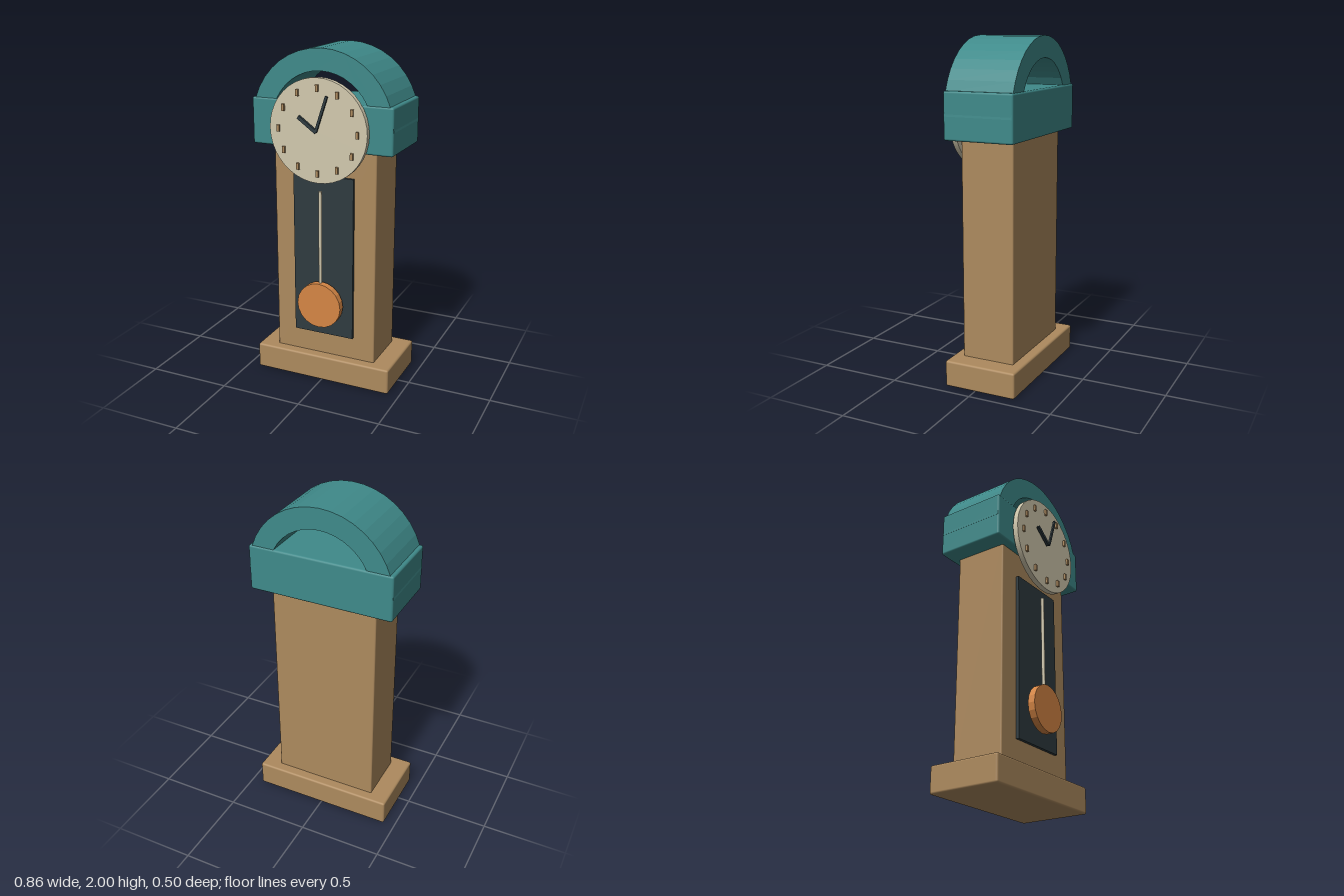
import * as THREE from 'three';
import { RoundedBoxGeometry } from 'three/addons/geometries/RoundedBoxGeometry.js';

const mat = (color, flatShading = false) => new THREE.MeshStandardMaterial({ color, flatShading });
const wood = mat(0xad8a5e);
const teal = mat(0x3f8a8a);
const tealFlat = mat(0x3f8a8a, true);
const cream = mat(0xd2c9ae);
const dark = mat(0x2f3b40);
const copper = mat(0xd58645, true);

export function createModel() {
  const clock = new THREE.Group();
  clock.name = 'longcaseClock';

  const add = (name, geometry, material, x = 0, y = 0, z = 0) => {
    const mesh = new THREE.Mesh(geometry, material);
    mesh.name = name;
    mesh.position.set(x, y, z);
    clock.add(mesh);
    return mesh;
  };

  // Box given by its width and its extents in y and z, with softened edges
  const block = (name, material, width, y0, y1, z0, z1, radius) =>
    add(name, new RoundedBoxGeometry(width, y1 - y0, z1 - z0, 2, radius), material,
      0, (y0 + y1) / 2, (z0 + z1) / 2);

  // Disc facing the front
  const disc = (name, material, radius, sides, y, z0, z1) =>
    add(name, new THREE.CylinderGeometry(radius, radius, z1 - z0, sides).rotateX(Math.PI / 2),
      material, 0, y, (z0 + z1) / 2);

  // Case
  block('base', wood, 0.864, 0, 0.156, -0.25, 0.19, 0.012);
  block('body', wood, 0.636, 0.14, 1.46, -0.19, 0.13, 0.008);
  block('hood', teal, 0.858, 1.438, 1.708, -0.239, 0.18, 0.012);

  // Faceted half-ring arch over the hood
  const arch = new THREE.Shape();
  arch.absarc(0, 0, 0.43, 0, Math.PI, false);
  arch.absarc(0, 0, 0.307, Math.PI, 0, true);
  const archGeometry = new THREE.ExtrudeGeometry(arch, {
    depth: 0.406, bevelEnabled: false, curveSegments: 10,
  });
  add('arch', archGeometry, tealFlat, 0, 1.57, -0.232);

  // Pendulum window and pendulum
  add('windowPanel', new THREE.BoxGeometry(0.376, 0.984, 0.018), dark, 0, 0.788, 0.142);
  add('pendulumRod', new THREE.CylinderGeometry(0.01, 0.01, 0.7, 10), cream, 0, 0.85, 0.19);
  disc('pendulumBob', copper, 0.138, 20, 0.505, 0.176, 0.219);

  // Dial with twelve upright hour marks
  const dialY = 1.551;
  disc('dial', cream, 0.296, 40, dialY, 0.187, 0.219);
  const markGeometry = new THREE.BoxGeometry(0.016, 0.038, 0.014);
  for (let i = 0; i < 12; i++) {
    const a = (i / 12) * Math.PI * 2;
    add(`hourMark${i + 1}`, markGeometry, wood,
      0.24 * Math.sin(a), dialY + 0.24 * Math.cos(a), 0.225);
  }

  // Hands run from the dial centre to a tip
  const hand = (name, tipX, tipY, width, depth, z) => {
    const length = Math.hypot(tipX, tipY);
    const geometry = new THREE.BoxGeometry(width, length, depth).translate(0, length / 2, 0);
    add(name, geometry, dark, 0, dialY, z).rotation.z = Math.atan2(-tipX, tipY);
  };
  hand('hourHand', -0.108, 0.077, 0.02, 0.016, 0.238);
  hand('minuteHand', 0.067, 0.202, 0.015, 0.011, 0.2445);

  return clock;
}
